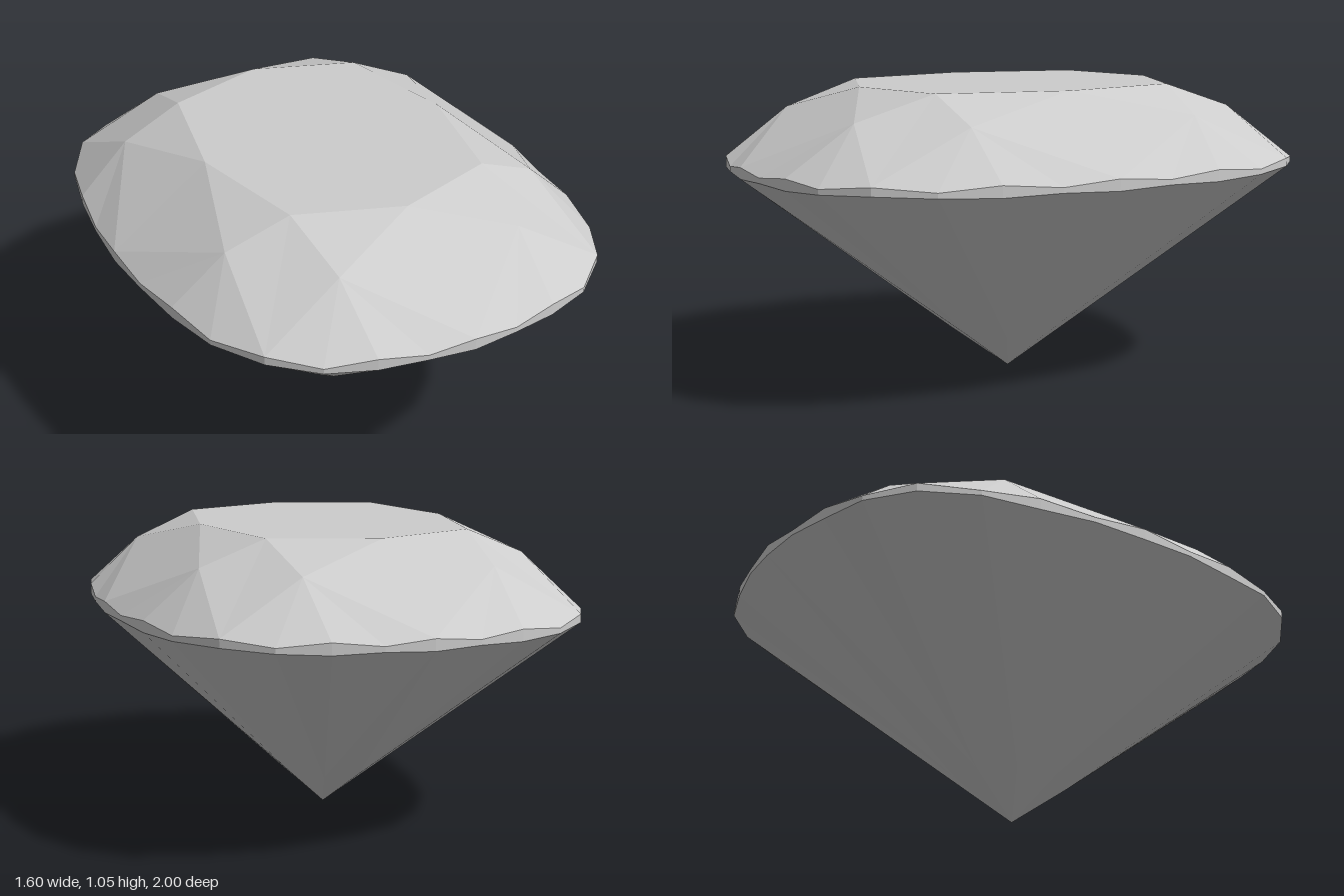
import * as THREE from 'three';

// Mirror a quarter outline of [x, y, z] points (from +z round to +x) into a full ring.
function ring(quarter) {
  const back = [...quarter].reverse();
  const all = [
    ...quarter,
    ...back.map(([x, y, z]) => [x, y, -z]),
    ...quarter.map(([x, y, z]) => [-x, y, -z]),
    ...back.map(([x, y, z]) => [-x, y, z]),
  ];
  return all.filter((p, i) => {
    const q = all[(i + 1) % all.length];
    return Math.hypot(p[0] - q[0], p[1] - q[1], p[2] - q[2]) > 1e-6;
  });
}

// Flat-faceted mesh from a list of triangles.
function facets(name, triangles, material) {
  const geometry = new THREE.BufferGeometry();
  geometry.setAttribute('position', new THREE.Float32BufferAttribute(triangles.flat(2), 3));
  geometry.computeVertexNormals();
  const mesh = new THREE.Mesh(geometry, material);
  mesh.name = name;
  return mesh;
}

export function createModel() {
  const group = new THREE.Group();
  group.name = 'cushionCutGem';
  const crystal = new THREE.MeshStandardMaterial({ color: 0xcccccc, flatShading: true });
  crystal.name = 'crystal grey';

  // Cushion outline at the widest point, with scalloped upper and lower edges
  const outline = [[0, 1], [0.16, 0.987], [0.32, 0.953], [0.48, 0.9], [0.62, 0.78],
    [0.72, 0.6], [0.763, 0.4], [0.79, 0.2], [0.8, 0]];
  const upper = ring(outline.map(([x, z], i) => [x, i % 2 ? 0.781 : 0.797, z]));
  const lower = ring(outline.map(([x, z], i) => [x, i === 4 ? 0.768 : i % 2 ? 0.763 : 0.757, z]));

  // Table corners, crown facet meets and pavilion facet meets
  const top = ring([[0, 1.05, 0.57], [0.36, 1.05, 0.445], [0.455, 1.05, 0]]);
  const crownMeet = ring([[0.33, 0.962, 0.72], [0.58, 0.96, 0.42]]);
  const pavilionMeet = ring([[0.064, 0.143, 0.19], [0.152, 0.143, 0.08]]);
  const centre = [0, 1.05, 0];
  const culet = [0, 0, 0];

  const table = [], crown = [], girdle = [], pavilion = [];
  for (let k = 0; k < 8; k++) {
    const t0 = top[k], t1 = top[(k + 1) % 8], m = crownMeet[k], p = pavilionMeet[k];
    const g0 = 4 * k, g1 = (4 * k + 4) % 32;

    table.push([centre, t0, t1]);
    // Star facet and the two neighbouring kite halves
    crown.push([t0, m, t1], [t0, upper[g0], m], [m, upper[g1], t1]);
    // Pavilion kite halves
    pavilion.push([culet, p, lower[g0]], [culet, lower[g1], p]);

    // Narrow facets running to the girdle, and the girdle band itself
    for (let j = g0; j < g0 + 4; j++) {
      const n = (j + 1) % 32;
      crown.push([m, upper[j], upper[n]]);
      pavilion.push([p, lower[n], lower[j]]);
      girdle.push([lower[j], lower[n], upper[n]], [lower[j], upper[n], upper[j]]);
    }
  }

  group.add(
    facets('table', table, crystal),
    facets('crown', crown, crystal),
    facets('girdle', girdle, crystal),
    facets('pavilion', pavilion, crystal),
  );
  return group;
}
